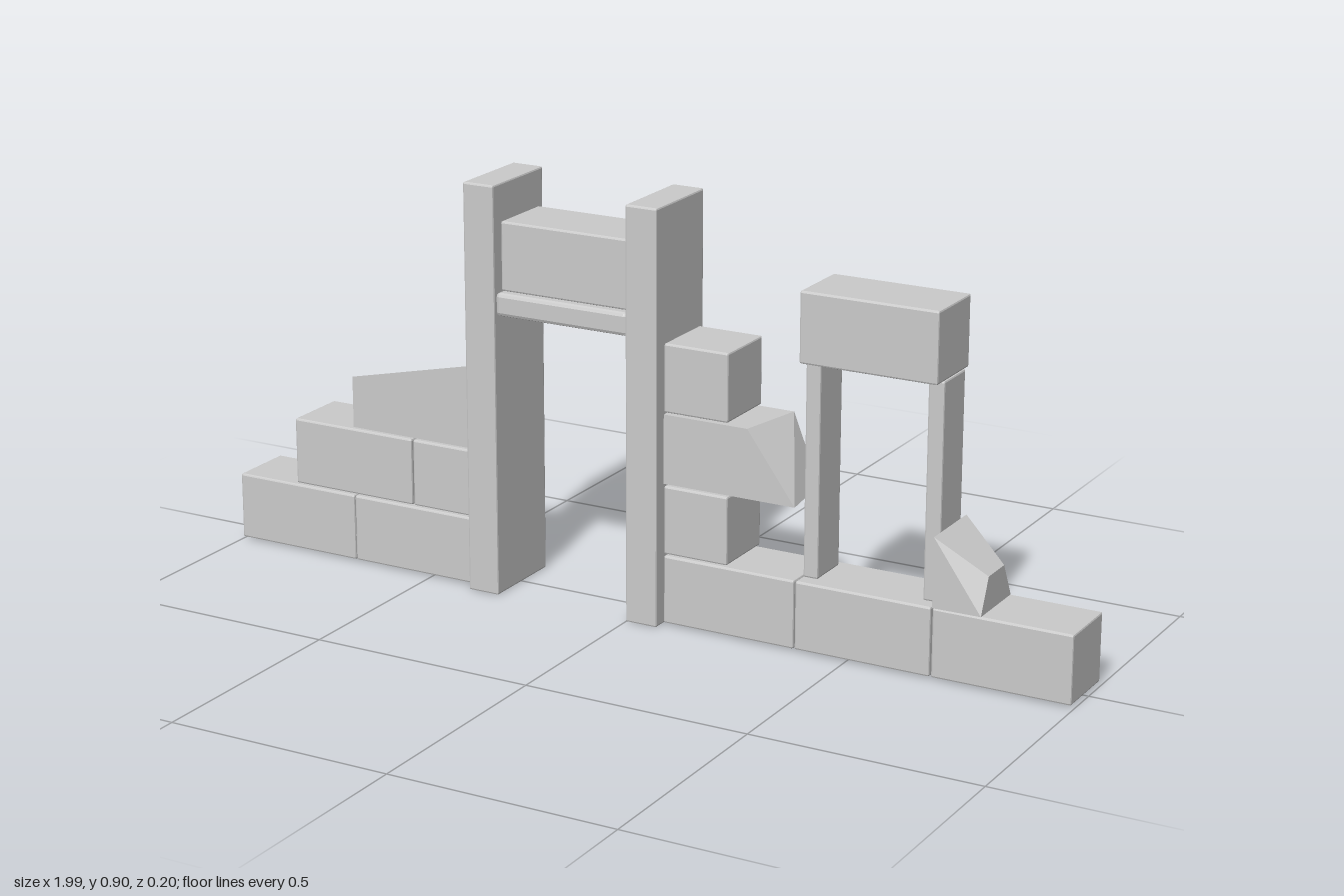
import * as THREE from 'three';
import { RoundedBoxGeometry } from 'three/addons/geometries/RoundedBoxGeometry.js';
import { ConvexGeometry } from 'three/addons/geometries/ConvexGeometry.js';

const BACK = -0.075, FRONT = 0.075;

export function createModel() {
  const model = new THREE.Group();
  model.name = 'ruinedWall';
  const stone = new THREE.MeshStandardMaterial({ color: 0xcccccc, flatShading: true });

  function add(name, geometry) {
    const mesh = new THREE.Mesh(geometry, stone);
    mesh.name = name;
    model.add(mesh);
    return mesh;
  }

  // Block with slightly worn edges, given by its limits
  function block(name, x0, x1, y0, y1, z0 = BACK, z1 = FRONT, bevel = 0.004) {
    const geometry = new RoundedBoxGeometry(x1 - x0, y1 - y0, z1 - z0, 1, bevel);
    add(name, geometry).position.set((x0 + x1) / 2, (y0 + y1) / 2, (z0 + z1) / 2);
  }

  // Broken stone, given by its corners
  function brokenStone(name, corners) {
    add(name, new ConvexGeometry(corners.map((c) => new THREE.Vector3(...c))));
  }

  // Foundation course on both sides of the gate
  for (const x of [-1, -0.695, 0.077, 0.383, 0.69]) {
    block('foundationBlock', x, x + 0.303, 0.004, 0.153);
  }

  // Gate: two tall pillars, a wide sill slab and the lintel on it
  for (const x of [-0.387, 0]) block('gatePillar', x, x + 0.073, 0, 0.9, -0.1, 0.1);
  block('gateSlab', -0.314, 0, 0.62, 0.67, -0.095, 0.095, 0.008);
  block('gateLintel', -0.311, -0.003, 0.67, 0.82);

  // Stepped wall left of the gate
  block('wallBlock', -0.848, -0.545, 0.157, 0.306);
  block('wallHalfBlock', -0.541, -0.39, 0.157, 0.306);
  brokenStone('slopedCapStone', [
    [-0.693, 0.311, FRONT], [-0.39, 0.311, FRONT], [-0.39, 0.311, BACK], [-0.693, 0.311, BACK],
    [-0.693, 0.425, FRONT], [-0.39, 0.495, FRONT],
    [-0.39, 0.465, -0.04], [-0.39, 0.43, BACK], [-0.693, 0.388, BACK],
  ]);

  // Broken wall end right of the gate
  block('wallHalfBlock', 0.077, 0.225, 0.157, 0.306);
  block('wallHalfBlock', 0.077, 0.225, 0.465, 0.613);
  brokenStone('brokenBlock', [
    [0.077, 0.311, FRONT], [0.077, 0.311, BACK], [0.077, 0.461, FRONT], [0.077, 0.461, BACK],
    [0.38, 0.311, FRONT], [0.36, 0.311, BACK], [0.27, 0.461, FRONT], [0.3, 0.461, BACK],
  ]);

  // Window: two slim posts under a lintel
  block('windowPost', 0.386, 0.419, 0.153, 0.617, -0.055, 0.045);
  block('windowPost', 0.655, 0.69, 0.153, 0.617, -0.055, 0.045);
  block('windowLintel', 0.385, 0.688, 0.616, 0.767);

  // Fallen chunk leaning against the outer post
  brokenStone('rubble', [
    [0.692, 0.155, 0.08], [0.692, 0.155, -0.075], [0.692, 0.305, 0.08], [0.692, 0.305, -0.075],
    [0.797, 0.155, 0.078], [0.797, 0.155, -0.068], [0.797, 0.23, 0.045], [0.797, 0.23, -0.03],
  ]);

  return model;
}
